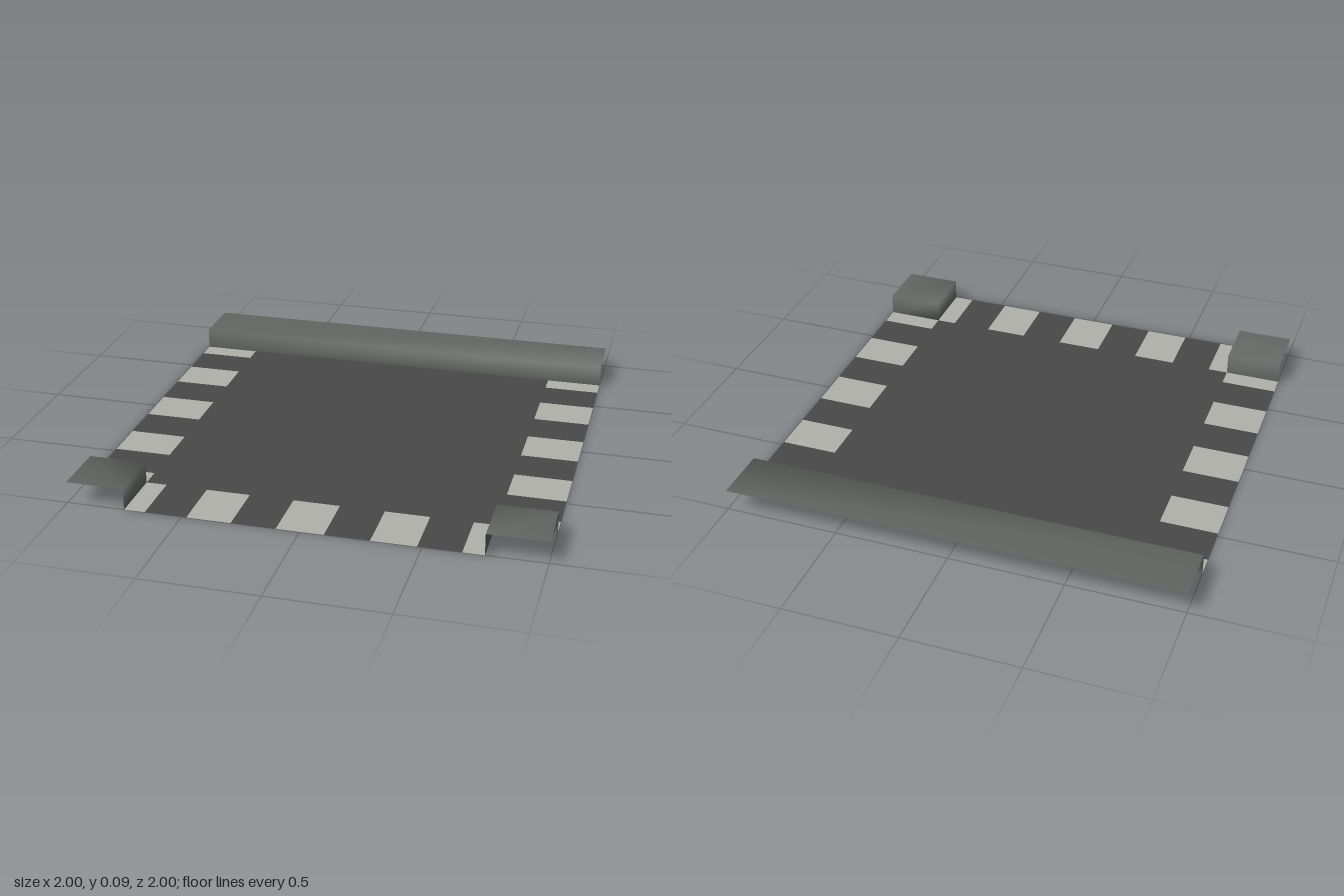
import * as THREE from 'three';

const H = 0.094;   // pavement height
const IN = 0.75;   // inner edge of the pavement border

const material = (color) => new THREE.MeshStandardMaterial({ color, side: THREE.DoubleSide });

export function createModel() {
  const model = new THREE.Group();
  const road = material(0x484948);
  const paint = material(0xb2b2ab);
  const stone = material(0x626562);

  // Flat rectangle on the ground
  function slab(name, x0, x1, z0, z1, mat) {
    const geo = new THREE.PlaneGeometry(x1 - x0, z1 - z0).rotateX(-Math.PI / 2);
    const mesh = new THREE.Mesh(geo, mat);
    mesh.position.set((x0 + x1) / 2, 0, (z0 + z1) / 2);
    mesh.name = name;
    model.add(mesh);
  }

  // Raised pavement: kerb wall along the path, top closed by the outer points
  function pavement(name, path, outer) {
    const n = path.length;
    const top = [...path, ...outer];
    const positions = [];
    top.forEach(([x, z]) => positions.push(x, H, z));
    path.forEach(([x, z]) => positions.push(x, 0, z));
    const index = [];
    for (let i = 1; i < top.length - 1; i++) index.push(0, i, i + 1);
    for (let i = 0; i < n - 1; i++) {
      const foot = top.length + i;
      index.push(foot, foot + 1, i + 1, foot, i + 1, i);
    }
    const geo = new THREE.BufferGeometry();
    geo.setAttribute('position', new THREE.Float32BufferAttribute(positions, 3));
    geo.setIndex(index);
    geo.computeVertexNormals();
    const mesh = new THREE.Mesh(geo, stone);
    mesh.name = name;
    model.add(mesh);
  }

  // Road surface
  slab('roadCentre', -IN, IN, -IN, IN, road);

  // Crossings on three sides: painted bars alternate with bare road
  const edges = [-IN, -0.66, -0.48, -0.29, -0.1, 0.1, 0.29, 0.48, 0.66, IN];
  for (let i = 0; i < edges.length - 1; i++) {
    const a = edges[i], b = edges[i + 1];
    const painted = i % 2 === 0;
    const name = painted ? 'CrossingBar' : 'RoadGap';
    const mat = painted ? paint : road;
    slab('left' + name, IN, 1, a, b, mat);
    slab('right' + name, -1, -IN, a, b, mat);
    slab('front' + name, a, b, IN, 1, mat);
  }

  // Back pavement and the two front corners
  pavement('backPavement', [[-1, -IN], [1, -IN]], [[1, -1], [-1, -1]]);
  pavement('leftCornerPavement', [[1, IN], [IN, IN], [IN, 1]], [[1, 1]]);
  pavement('rightCornerPavement', [[-IN, 1], [-IN, IN], [-1, IN]], [[-1, 1]]);

  return model;
}
